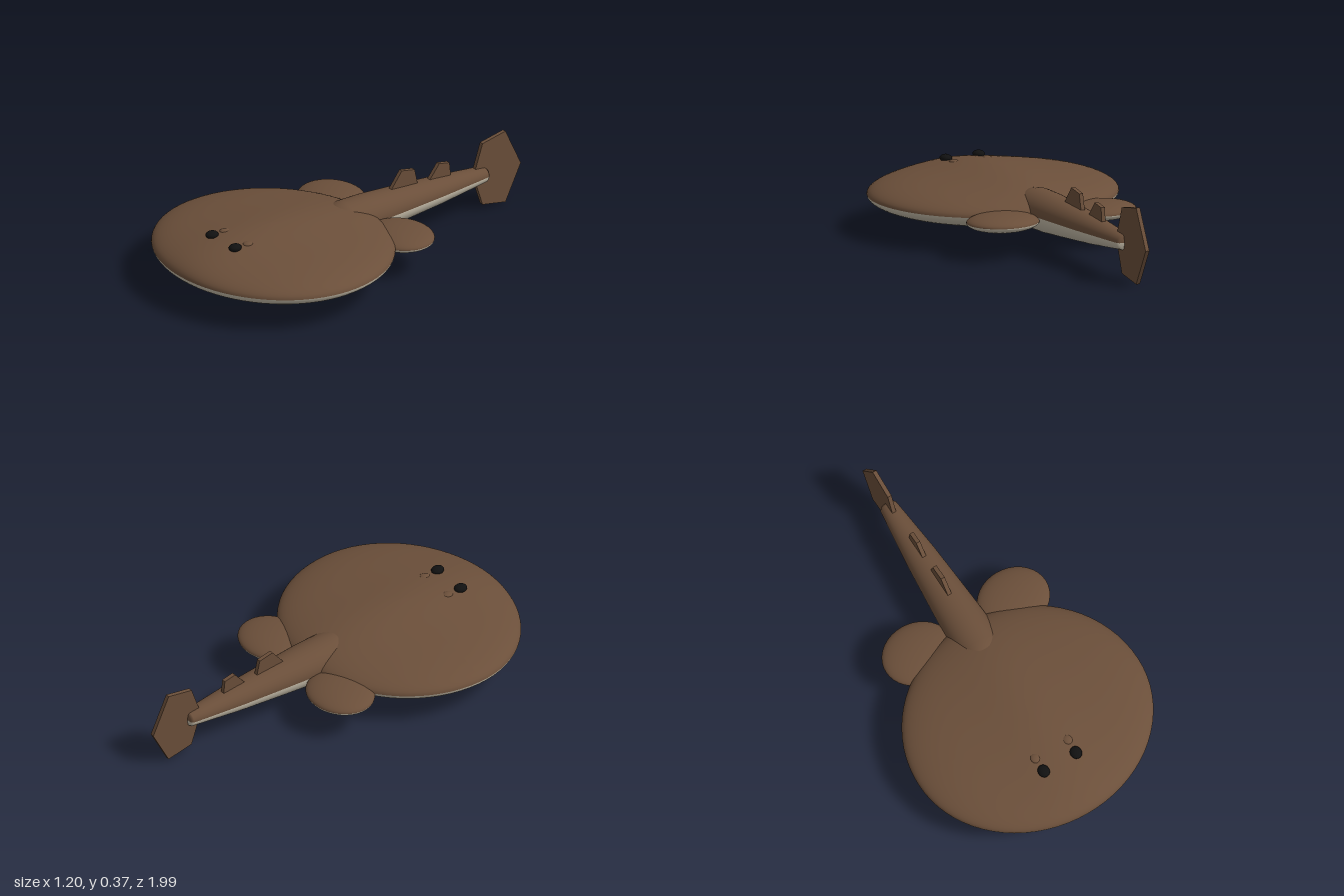
import * as THREE from 'three';

const brown = new THREE.MeshStandardMaterial({ color: 0x6b4f3a });
brown.name = 'brown skin';
const cream = new THREE.MeshStandardMaterial({ color: 0xc4bba8 });
cream.name = 'pale belly';
const black = new THREE.MeshStandardMaterial({ color: 0x111111 });
black.name = 'black eye';

const MID = 0.177; // height of the line between back and belly

export function createModel() {
  const model = new THREE.Group();
  model.name = 'ray';

  function add(name, geometry, material, x = 0, y = 0, z = 0, parent = model) {
    const mesh = new THREE.Mesh(geometry, material);
    mesh.name = name;
    mesh.position.set(x, y, z);
    parent.add(mesh);
    return mesh;
  }

  // Half of a unit sphere: the upper or the lower one
  const dome = (upper, w, h) =>
    new THREE.SphereGeometry(1, w, h, 0, Math.PI * 2, upper ? 0 : Math.PI / 2, Math.PI / 2);

  // Body disc: longer behind than in front, with a soft hump along the back
  function discHalf(upper) {
    const g = dome(upper, 72, 20);
    const p = g.attributes.position;
    for (let i = 0; i < p.count; i++) {
      const x = p.getX(i) * 0.6;
      const y = p.getY(i);
      const z = p.getZ(i);
      const height = upper ? 0.105 + 0.021 * Math.exp(-((x / 0.2) ** 2)) : 0.109;
      p.setXYZ(i, x, y * height, z * (z > 0 ? 0.53 : 0.57));
    }
    g.computeVertexNormals();
    return g;
  }
  add('bodyTop', discHalf(true), brown, 0, MID, 0.465);
  add('bodyBelly', discHalf(false), cream, 0, MID, 0.465);

  // Tail: tapering round profile, split lengthwise
  const profile = [
    [0, -0.12], [0.045, -0.115], [0.075, -0.1], [0.09, -0.075], [0.097, -0.03],
    [0.095, 0.1], [0.085, 0.25], [0.067, 0.5], [0.045, 0.72], [0.038, 0.785],
    [0.03, 0.797], [0, 0.8],
  ].map(([r, y]) => new THREE.Vector2(r, y));
  function tailHalf(upper) {
    const g = new THREE.LatheGeometry(profile, 24, upper ? -Math.PI / 2 : Math.PI / 2, Math.PI);
    g.rotateX(-Math.PI / 2);
    g.scale(1.14, 1, 1);
    return g;
  }
  add('tailTop', tailHalf(true), brown, 0, 0.181, 0);
  add('tailBelly', tailHalf(false), cream, 0, 0.181, 0);

  // Upright fins: flat plates drawn in (z, y)
  function plate(name, points) {
    const shape = new THREE.Shape(points.map(([z, y]) => new THREE.Vector2(-z, y)));
    const g = new THREE.ExtrudeGeometry(shape, { depth: 0.02, bevelEnabled: false });
    g.translate(0, 0, -0.01);
    g.rotateY(Math.PI / 2);
    add(name, g, brown);
  }
  plate('frontDorsalFin', [[-0.21, 0.23], [-0.4, 0.22], [-0.375, 0.33], [-0.3, 0.345]]);
  plate('rearDorsalFin', [[-0.44, 0.22], [-0.59, 0.21], [-0.58, 0.305], [-0.52, 0.317]]);
  plate('tailFin', [
    [-0.73, 0.215], [-0.735, 0.15], [-0.775, 0.03], [-0.91, 0.004],
    [-1, 0.18], [-0.91, 0.37], [-0.775, 0.345],
  ]);

  // Paired parts
  for (const [side, s] of [['left', 1], ['right', -1]]) {
    const fin = new THREE.Group();
    fin.name = side + 'PelvicFin';
    fin.position.set(s * 0.26, 0.169, -0.095);
    fin.scale.set(0.177, 0.042, 0.153);
    model.add(fin);
    add('pelvicFinTop', dome(true, 36, 12), brown, 0, 0, 0, fin);
    add('pelvicFinBelly', dome(false, 36, 12), cream, 0, 0, 0, fin);

    add(side + 'Eye', new THREE.SphereGeometry(1, 20, 14), black, s * 0.088, 0.288, 0.743)
      .scale.set(0.028, 0.018, 0.032);
    add(side + 'Spiracle', new THREE.SphereGeometry(1, 20, 14), brown, s * 0.088, 0.284, 0.667)
      .scale.set(0.023, 0.011, 0.026);
  }

  return model;
}
